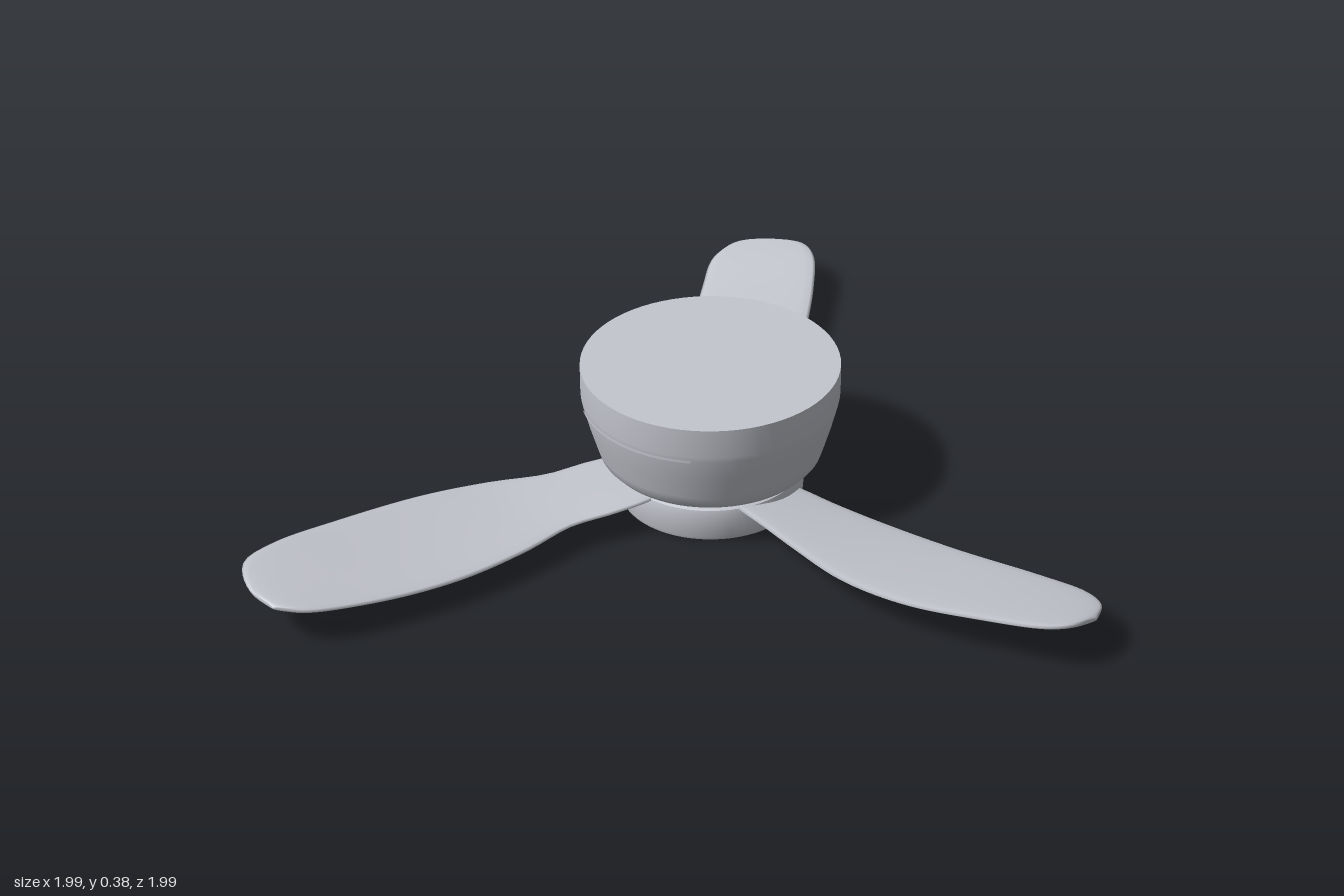
import * as THREE from 'three';
import { toCreasedNormals } from 'three/addons/utils/BufferGeometryUtils.js';

const CX = -0.033, CZ = 0.128; // fan axis

const grey = new THREE.MeshStandardMaterial({ color: 0xc4c6ce });
grey.name = 'satin grey';

function add(parent, name, geometry) {
  const mesh = new THREE.Mesh(geometry, grey);
  mesh.name = name;
  parent.add(mesh);
  return mesh;
}

function lathe(points) {
  const profile = points.map(([r, y]) => new THREE.Vector2(r, y));
  return toCreasedNormals(new THREE.LatheGeometry(profile, 72), 0.6);
}

const edgeCurve = (points) =>
  new THREE.CatmullRomCurve3(points.map(([x, y, z]) => new THREE.Vector3(x, y, z)), false, 'centripetal');

// Thin rounded slab lofted between a raised leading edge and a lower trailing edge that meet at the tip
function bladeGeometry(lead, trail) {
  const stations = 44, around = 20, half = 0.009;
  const a = edgeCurve(lead), b = edgeCurve(trail);
  const pos = [], index = [];
  for (let i = 0; i <= stations; i++) {
    const u = 1 - Math.pow(1 - i / stations, 1.5);
    const p = a.getPointAt(u), q = b.getPointAt(u);
    const thick = half * Math.sqrt(Math.max(0, 1 - Math.pow(u, 40)));
    for (let j = 0; j < around; j++) {
      const phi = (j / around) * Math.PI * 2, s = Math.sin(phi);
      const c = p.clone().lerp(q, (1 - Math.cos(phi)) / 2);
      pos.push(c.x, c.y + thick * Math.sign(s) * Math.sqrt(Math.abs(s)), c.z);
      if (i < stations) {
        const k = i * around + j, n = i * around + (j + 1) % around;
        index.push(k, k + around, n, n, k + around, n + around);
      }
    }
  }
  const g = new THREE.BufferGeometry();
  g.setAttribute('position', new THREE.Float32BufferAttribute(pos, 3));
  g.setIndex(index);
  g.computeVertexNormals();
  return g;
}

// Edge points run from the hub to the tip
const blades = {
  backBlade: {
    lead: [[0.05, 0.085, 0.03], [0.075, 0.08, -0.1], [0.08, 0.068, -0.24], [0.08, 0.064, -0.4], [0.07, 0.07, -0.56],
      [0.05, 0.085, -0.775], [0.02, 0.1, -0.925], [-0.02, 0.1, -0.982], [-0.12, 0.09, -1]],
    trail: [[-0.12, 0.05, 0.03], [-0.155, 0.045, -0.08], [-0.18, 0.04, -0.19], [-0.21, 0.036, -0.35], [-0.24, 0.038, -0.56],
      [-0.258, 0.054, -0.775], [-0.257, 0.07, -0.91], [-0.21, 0.08, -0.985], [-0.12, 0.09, -1]],
  },
  leftBlade: {
    lead: [[0.02, 0.092, 0.27], [0.07, 0.09, 0.32], [0.155, 0.085, 0.385], [0.246, 0.082, 0.46], [0.38, 0.085, 0.567],
      [0.54, 0.096, 0.647], [0.727, 0.118, 0.7], [0.877, 0.135, 0.727], [0.935, 0.132, 0.705], [0.99, 0.11, 0.63]],
    trail: [[0.13, 0.055, 0.13], [0.21, 0.05, 0.155], [0.29, 0.045, 0.19], [0.43, 0.04, 0.245], [0.62, 0.046, 0.325],
      [0.835, 0.066, 0.42], [0.95, 0.082, 0.487], [0.992, 0.095, 0.55], [0.99, 0.11, 0.63]],
  },
  rightBlade: {
    lead: [[-0.19, 0.088, 0.11], [-0.26, 0.087, 0.15], [-0.34, 0.083, 0.2], [-0.42, 0.078, 0.262], [-0.556, 0.076, 0.326],
      [-0.69, 0.088, 0.433], [-0.85, 0.11, 0.615], [-0.957, 0.127, 0.76], [-0.995, 0.13, 0.856], [-0.95, 0.12, 0.947], [-0.877, 0.108, 0.99]],
    trail: [[-0.1, 0.09, 0.28], [-0.14, 0.088, 0.34], [-0.21, 0.082, 0.4], [-0.3, 0.074, 0.465], [-0.385, 0.068, 0.588],
      [-0.503, 0.068, 0.733], [-0.652, 0.08, 0.872], [-0.797, 0.099, 0.973], [-0.877, 0.108, 0.99]],
  },
};

export function createModel() {
  const fan = new THREE.Group();
  fan.name = 'ceilingFan';

  const body = new THREE.Group();
  body.name = 'motorBody';
  body.position.set(CX, 0, CZ);
  fan.add(body);

  // Ceiling housing with tapered, rounded lower half
  add(body, 'housing', lathe([[0, 0.104], [0.2, 0.104], [0.235, 0.109], [0.26, 0.12], [0.276, 0.138], [0.283, 0.16],
    [0.302, 0.225], [0.317, 0.285], [0.319, 0.3], [0.319, 0.375], [0, 0.375]]));
  // Shadow gap between housing and hub
  add(body, 'neck', new THREE.CylinderGeometry(0.17, 0.17, 0.03, 48)).position.y = 0.1;
  // Rotating hub
  add(body, 'hub', lathe([[0, 0], [0.218, 0], [0.226, 0.004], [0.229, 0.012], [0.234, 0.075], [0.23, 0.09], [0.215, 0.097], [0, 0.097]]));

  // Two opposite seam strips on the housing
  for (const start of [-62, 118]) {
    const strip = new THREE.CylinderGeometry(0.3205, 0.3205, 0.007, 24, 1, true,
      THREE.MathUtils.degToRad(start), THREE.MathUtils.degToRad(66));
    add(body, 'housingSeam', strip).position.y = 0.287;
  }

  for (const [name, { lead, trail }] of Object.entries(blades)) add(fan, name, bladeGeometry(lead, trail));
  return fan;
}
